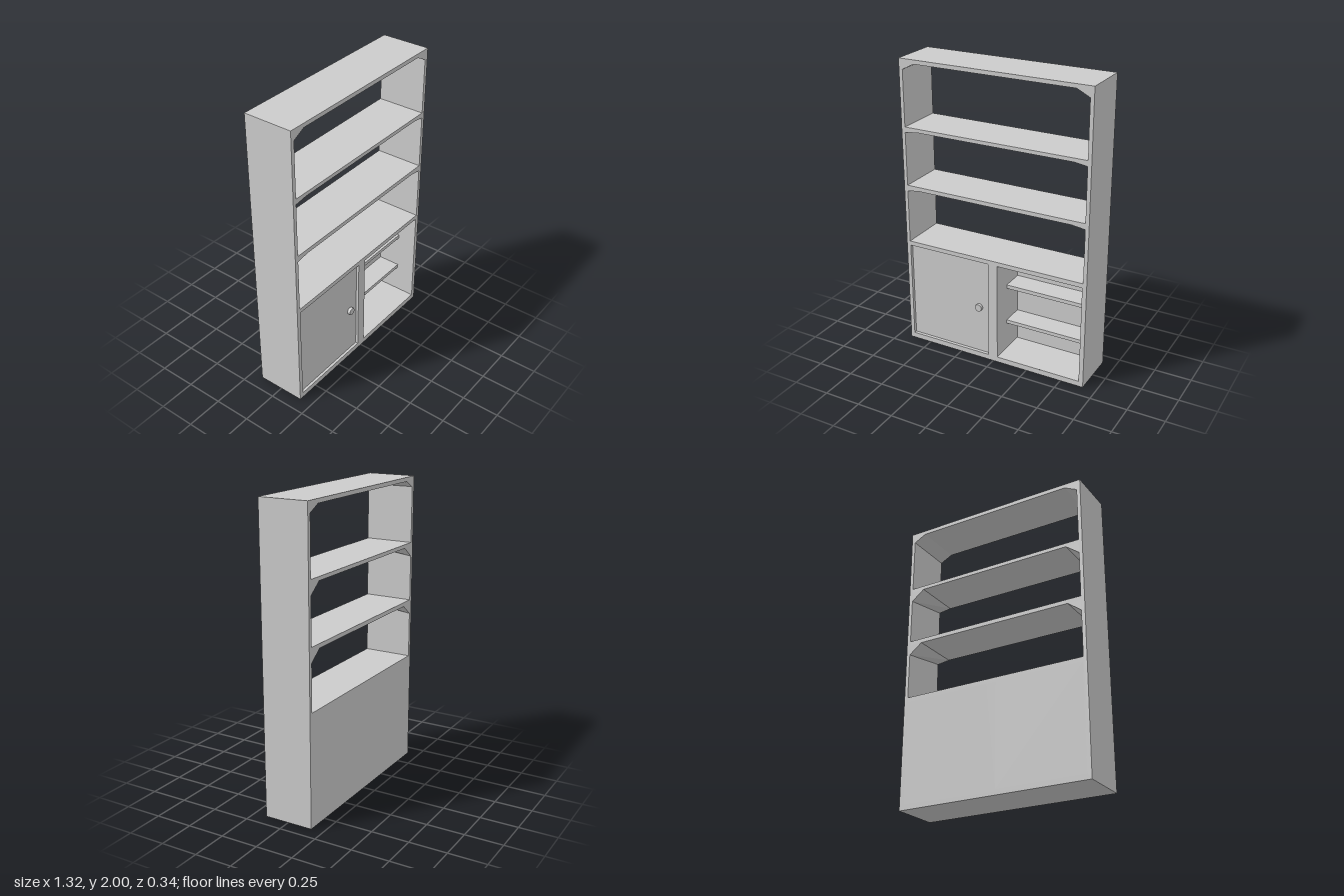
import * as THREE from 'three';
import { ConvexGeometry } from 'three/addons/geometries/ConvexGeometry.js';

const BACK = -0.168, FRONT = 0.163;

export function createModel() {
  const group = new THREE.Group();
  const material = new THREE.MeshStandardMaterial({ color: 0xcccccc, flatShading: true });

  const add = (name, geometry) => {
    const mesh = new THREE.Mesh(geometry, material);
    mesh.name = name;
    group.add(mesh);
    return mesh;
  };
  // Box given by its limits on each axis
  const box = (name, x0, x1, y0, y1, z0, z1) => {
    const mesh = add(name, new THREE.BoxGeometry(x1 - x0, y1 - y0, z1 - z0));
    mesh.position.set((x0 + x1) / 2, (y0 + y1) / 2, (z0 + z1) / 2);
  };
  const path = (points) => new THREE.Path(points.map(([x, y]) => new THREE.Vector2(x, y)));
  const rect = (x0, x1, y0, y1) => path([[x0, y0], [x0, y1], [x1, y1], [x1, y0]]);

  // Carcass: one slab with the shelf bays and cupboard openings cut through it
  const W = 0.66, IN = 0.635;
  const shape = new THREE.Shape([[-W, 0], [W, 0], [W, 2], [-W, 2]].map(([x, y]) => new THREE.Vector2(x, y)));
  shape.holes.push(
    path([[-IN, 1.555], [-IN, 1.93], [-0.55, 1.973], [0.55, 1.973], [IN, 1.93], [IN, 1.555]]),
    rect(-IN, IN, 1.155, 1.53),
    rect(-IN, IN, 0.75, 1.127),
    rect(-0.632, -0.035, 0.037, 0.72),
    rect(0.032, 0.63, 0.037, 0.72)
  );
  const carcass = new THREE.ExtrudeGeometry(shape, { depth: FRONT - BACK, bevelEnabled: false });
  carcass.translate(0, 0, BACK);
  add('carcass', carcass);

  // Corner brackets under the two open shelves, deeper toward the back
  for (const y of [1.53, 1.127]) {
    for (const side of [-1, 1]) {
      const points = [];
      for (const [z, drop] of [[BACK, 0.069], [FRONT, 0.012]]) {
        points.push(
          new THREE.Vector3(side * IN, y, z),
          new THREE.Vector3(side * 0.545, y, z),
          new THREE.Vector3(side * IN, y - drop, z)
        );
      }
      add('cornerBracket', new ConvexGeometry(points));
    }
  }

  // Cupboard back panels
  box('backPanelRight', -0.632, -0.035, 0.037, 0.72, BACK, -0.125);
  box('backPanelLeft', 0.032, 0.63, 0.037, 0.72, BACK, -0.125);

  // Inset door with a narrow gap, and its round knob
  box('door', -0.627, -0.04, 0.042, 0.714, 0.12, 0.148);
  const knob = add('doorKnob', new THREE.CylinderGeometry(0.025, 0.025, 0.02, 24));
  knob.rotation.x = Math.PI / 2;
  knob.position.set(-0.11, 0.378, 0.158);

  // Set-back shelves of the open compartment
  box('innerShelf', 0.032, 0.63, 0.498, 0.524, -0.125, 0.03);
  box('innerShelf', 0.032, 0.63, 0.232, 0.257, -0.125, 0.03);

  return group;
}
